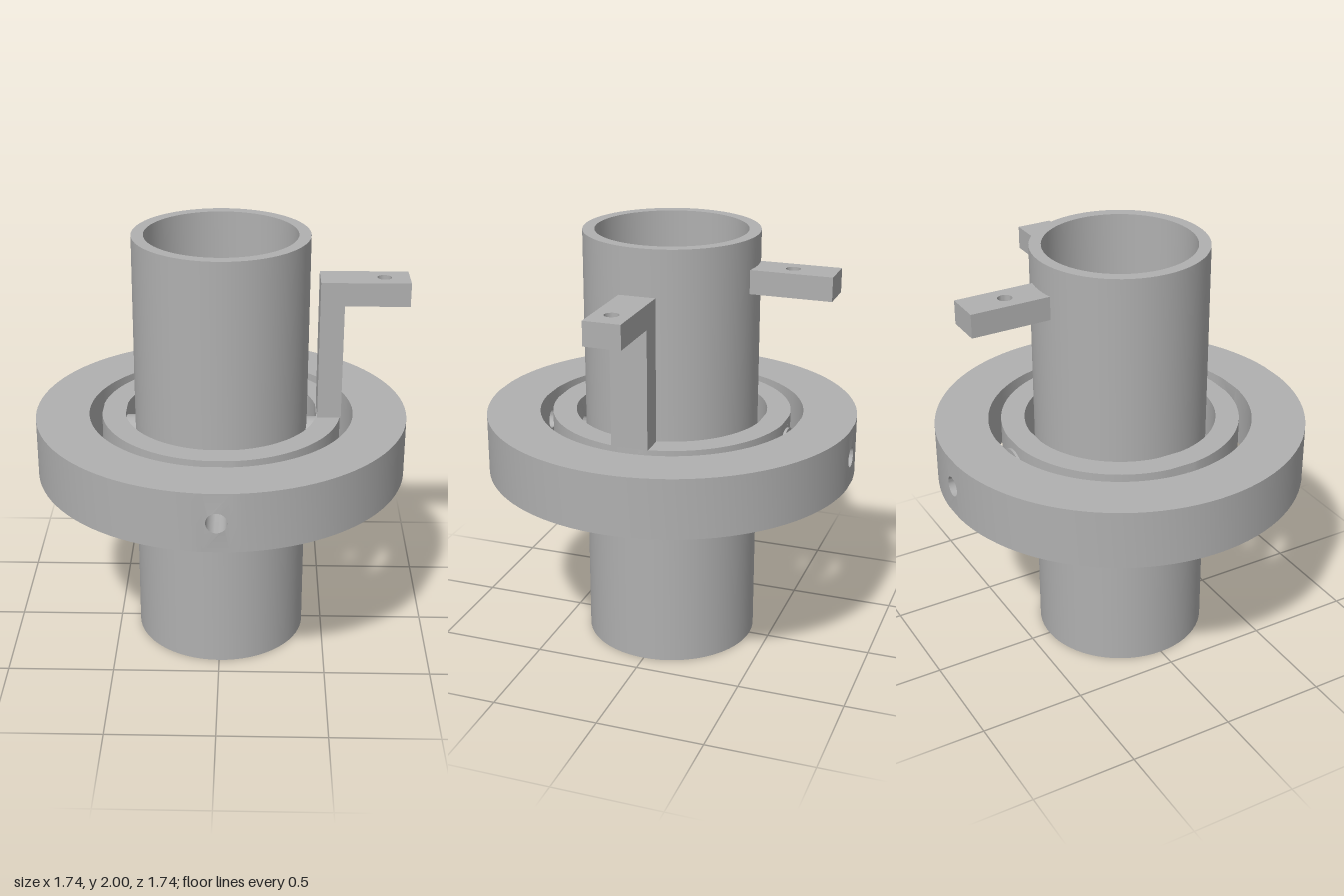
import * as THREE from 'three';
import { mergeGeometries, toCreasedNormals } from 'three/addons/utils/BufferGeometryUtils.js';

const metal = new THREE.MeshStandardMaterial({ color: 0xb0b0b0 });
metal.name = 'grey metal';

function mesh(name, geometry) {
  const m = new THREE.Mesh(geometry, metal);
  m.name = name;
  return m;
}

function circleHole(x, y, r) {
  return new THREE.Path().absarc(x, y, r, 0, Math.PI * 2, true);
}

const extrude = (shape, depth, curveSegments) =>
  new THREE.ExtrudeGeometry(shape, { depth, curveSegments, bevelEnabled: false });

// Upright ring with evenly spaced radial bores, the first facing +z.
// Each bore sits in a narrow block; plain arc sectors fill the rest.
function boredRing(ri, ro, y0, y1, boreRadii) {
  const w = 0.06, n = boreRadii.length, step = Math.PI * 2 / n, h = y1 - y0;
  const parts = [];
  const ao = Math.asin(w / ro), ai = Math.asin(w / ri);
  boreRadii.forEach((bore, i) => {
    const a = -Math.PI / 2 + i * step, b = a + step;
    const sector = new THREE.Shape();
    sector.absarc(0, 0, ro, a + ao, b - ao, false);
    sector.absarc(0, 0, ri, b - ai, a + ai, true);
    parts.push(extrude(sector, h, Math.round(48 / n)).rotateX(-Math.PI / 2).translate(0, y0, 0));

    const face = new THREE.Shape([
      new THREE.Vector2(-w, y0), new THREE.Vector2(w, y0),
      new THREE.Vector2(w, y1), new THREE.Vector2(-w, y1),
    ]);
    face.holes.push(circleHole(0, (y0 + y1) / 2, bore));
    const block = extrude(face, 1, 16);
    const p = block.attributes.position;
    for (let k = 0; k < p.count; k++) {
      const r = p.getZ(k) > 0.5 ? ro : ri;
      p.setZ(k, Math.sqrt(r * r - p.getX(k) ** 2));
    }
    block.computeVertexNormals();
    parts.push(block.rotateY(i * step));
  });
  return toCreasedNormals(mergeGeometries(parts), 0.5);
}

// Flat tab along +x with a vertical screw hole
function tab(x0, x1, y0, y1, half, holeX) {
  const s = new THREE.Shape([
    new THREE.Vector2(x0, -half), new THREE.Vector2(x1, -half),
    new THREE.Vector2(x1, half), new THREE.Vector2(x0, half),
  ]);
  s.holes.push(circleHole(holeX, 0, 0.033));
  const g = extrude(s, y1 - y0, 12).rotateX(-Math.PI / 2).translate(0, y0, 0);
  return toCreasedNormals(g, 0.7);
}

export function createModel() {
  const model = new THREE.Group();
  model.name = 'gimbalMount';

  // Open central tube
  const tubeShape = new THREE.Shape().absarc(0, 0, 0.405, 0, Math.PI * 2, false);
  tubeShape.holes.push(circleHole(0, 0, 0.35));
  model.add(mesh('centralTube',
    toCreasedNormals(extrude(tubeShape, 2, 32).rotateX(-Math.PI / 2), 0.5)));

  // Two gimbal rings
  model.add(mesh('outerRing', boredRing(0.62, 0.87, 0.86, 1.14, [0.047, 0.047])));
  model.add(mesh('middleRing', boredRing(0.45, 0.56, 0.86, 1.14, [0.037, 0.037, 0.037, 0.037])));

  // Pivot bosses: tube to middle ring on x, middle ring to outer ring on z
  for (const side of [1, -1]) {
    const boss = new THREE.CylinderGeometry(0.1, 0.1, 0.08, 40)
      .rotateZ(Math.PI / 2).translate(side * 0.41, 1, 0);
    model.add(mesh('tubePivotBoss', boss));

    const washer = new THREE.Shape().absarc(0, 0, 0.1, 0, Math.PI * 2, false);
    washer.holes.push(circleHole(0, 0, 0.037));
    const g = toCreasedNormals(extrude(washer, 0.03, 20), 0.5).translate(0, 1, 0.54);
    model.add(mesh('ringPivotBoss', side > 0 ? g : g.rotateY(Math.PI)));
  }

  // Angle bracket standing on the middle ring
  const bracket = new THREE.Group();
  bracket.name = 'ringBracket';
  bracket.add(mesh('bracketPost',
    new THREE.BoxGeometry(0.11, 0.55, 0.17).translate(0.505, 1.415, 0)));
  bracket.add(mesh('bracketTab', tab(0.45, 0.855, 1.69, 1.8, 0.085, 0.74)));
  model.add(bracket);

  // Straight tab on the back of the tube
  model.add(mesh('tubeTab', tab(0.38, 0.77, 1.75, 1.86, 0.085, 0.57).rotateY(Math.PI / 2)));

  return model;
}
